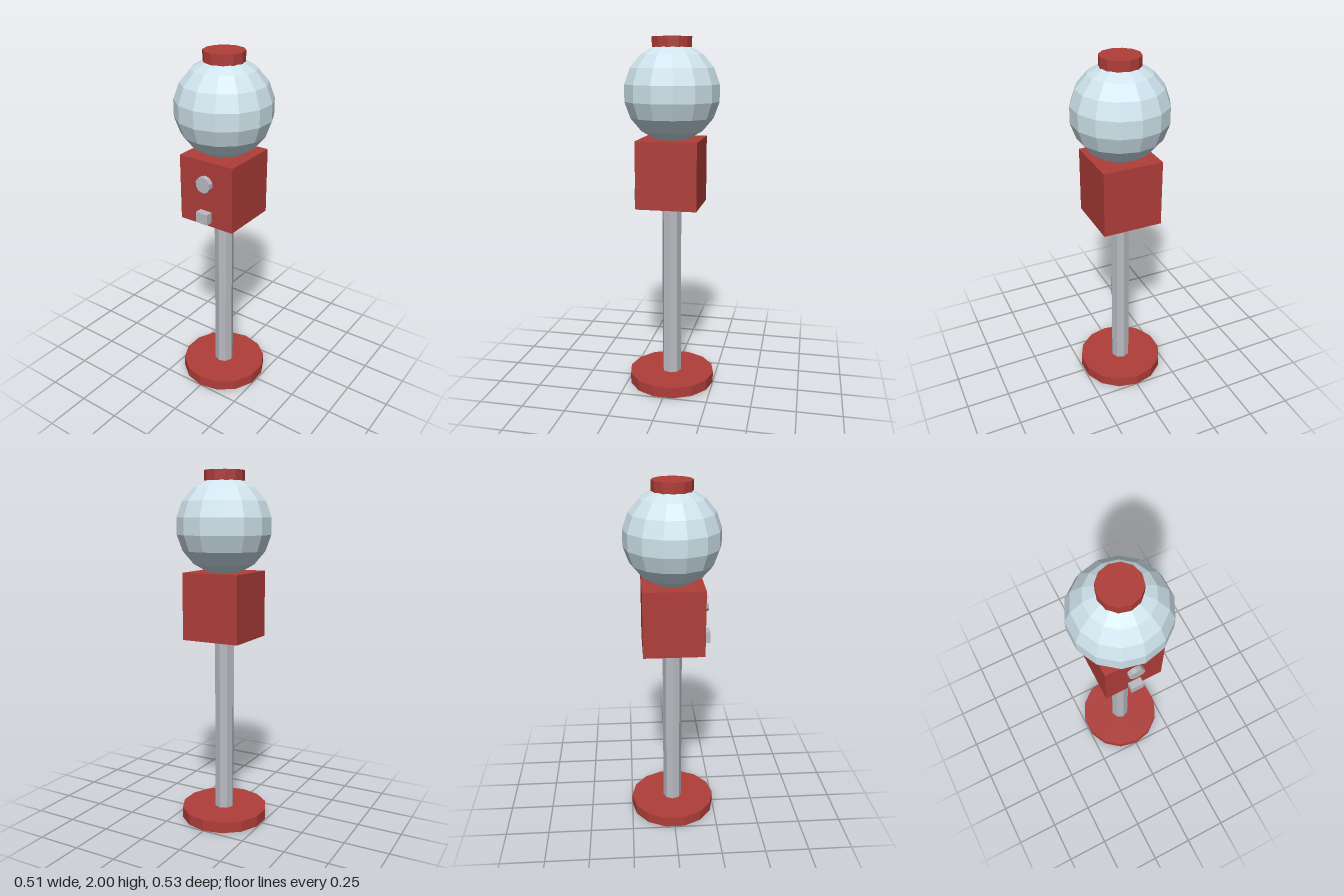
import * as THREE from 'three';

const paint = (color) => new THREE.MeshStandardMaterial({ color, flatShading: true });

export function createModel() {
  const model = new THREE.Group();
  const red = paint(0xb03e3a), metal = paint(0xb9bbc1), glass = paint(0xcfe3ec);

  const add = (name, geometry, material, y, z = 0) => {
    const mesh = new THREE.Mesh(geometry, material);
    mesh.name = name;
    mesh.position.set(0, y, z);
    model.add(mesh);
  };
  // Upright faceted cylinder between two heights
  const column = (name, radius, sides, bottom, top, material) =>
    add(name, new THREE.CylinderGeometry(radius, radius, top - bottom, sides), material, (bottom + top) / 2);

  // Stand
  column('base', 0.25, 14, 0, 0.063, red);
  column('pole', 0.055, 8, 0.05, 1.09, metal);

  // Dispenser housing with its coin knob and chute on the front
  add('housing', new THREE.BoxGeometry(0.34, 0.375, 0.34), red, 1.265);
  add('knob', new THREE.CylinderGeometry(0.046, 0.046, 0.05, 10).rotateX(Math.PI / 2), metal, 1.327, 0.174);
  add('chute', new THREE.BoxGeometry(0.075, 0.062, 0.06), metal, 1.135, 0.182);

  // Globe, turned so that a seam faces the front, and its lid
  add('globe', new THREE.SphereGeometry(0.268, 14, 9).rotateY(Math.PI / 2), glass, 1.703);
  column('lid', 0.111, 12, 1.943, 2, red);

  return model;
}
